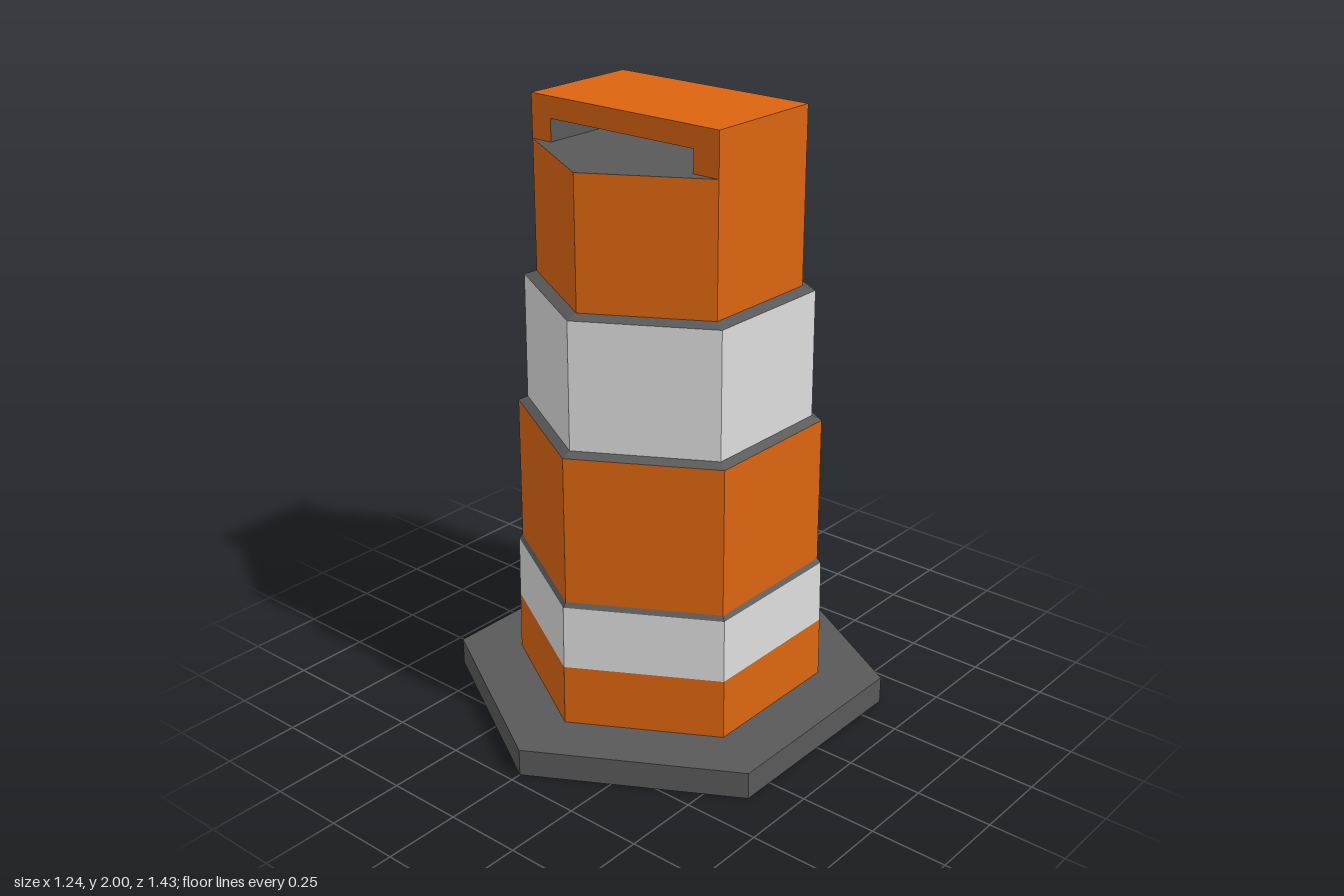
import * as THREE from 'three';

export function createModel() {
  const mat = (name, color) => {
    const m = new THREE.MeshStandardMaterial({ color });
    m.name = name;
    return m;
  };
  const orange = mat('safety orange', 0xdc6510);
  const white = mat('reflective white', 0xdcdcdc);
  const dark = mat('dark rubber', 0x595959);

  const group = new THREE.Group();
  group.name = 'trafficBarrel';
  const add = (name, geometry, material, parent = group) => {
    const mesh = new THREE.Mesh(geometry, material);
    mesh.name = name;
    parent.add(mesh);
    return mesh;
  };

  // Six-sided section with corners towards +z and -z, and flat faces towards +x and -x
  const section = (name, y0, y1, r0, r1, material, open = true) => {
    const g = new THREE.CylinderGeometry(r1, r0, y1 - y0, 6, 1, open).toNonIndexed();
    g.computeVertexNormals();
    add(name, g, material).position.y = (y0 + y1) / 2;
  };

  // Base plate
  section('base', 0, 0.09, 0.715, 0.715, dark, false);

  // Stepped body, with a dark sloping ledge above each wider band
  section('lowerOrangeBand', 0.09, 0.29, 0.507, 0.505, orange);
  section('lowerWhiteBand', 0.29, 0.5, 0.505, 0.502, white);
  section('lowerLedge', 0.5, 0.515, 0.502, 0.49, dark);
  section('middleOrangeBand', 0.515, 1.0, 0.49, 0.488, orange);
  section('middleLedge', 1.0, 1.015, 0.488, 0.457, dark);
  section('upperWhiteBand', 1.015, 1.427, 0.457, 0.455, white);
  section('upperLedge', 1.427, 1.44, 0.455, 0.415, dark);
  section('topOrangeBand', 1.44, 1.86, 0.415, 0.415, orange);

  // Flat lid
  const lid = add('lid', new THREE.CircleGeometry(0.415, 6, Math.PI / 2), dark);
  lid.rotation.x = -Math.PI / 2;
  lid.position.y = 1.86;

  // Handle: two posts and a slab, dark on the faces inside the slot
  const handle = new THREE.Group();
  handle.name = 'handle';
  group.add(handle);
  const block = (name, x0, x1, y0, y1, darkFace) => {
    const faces = Array(6).fill(orange);
    faces[darkFace] = dark;
    const mesh = add(name, new THREE.BoxGeometry(x1 - x0, y1 - y0, 0.415), faces, handle);
    mesh.position.set((x0 + x1) / 2, (y0 + y1) / 2, 0);
  };
  block('rightPost', -0.36, -0.283, 1.86, 1.932, 0);
  block('leftPost', 0.267, 0.36, 1.86, 1.932, 1);
  block('handleTop', -0.36, 0.36, 1.932, 2, 3);

  return group;
}
